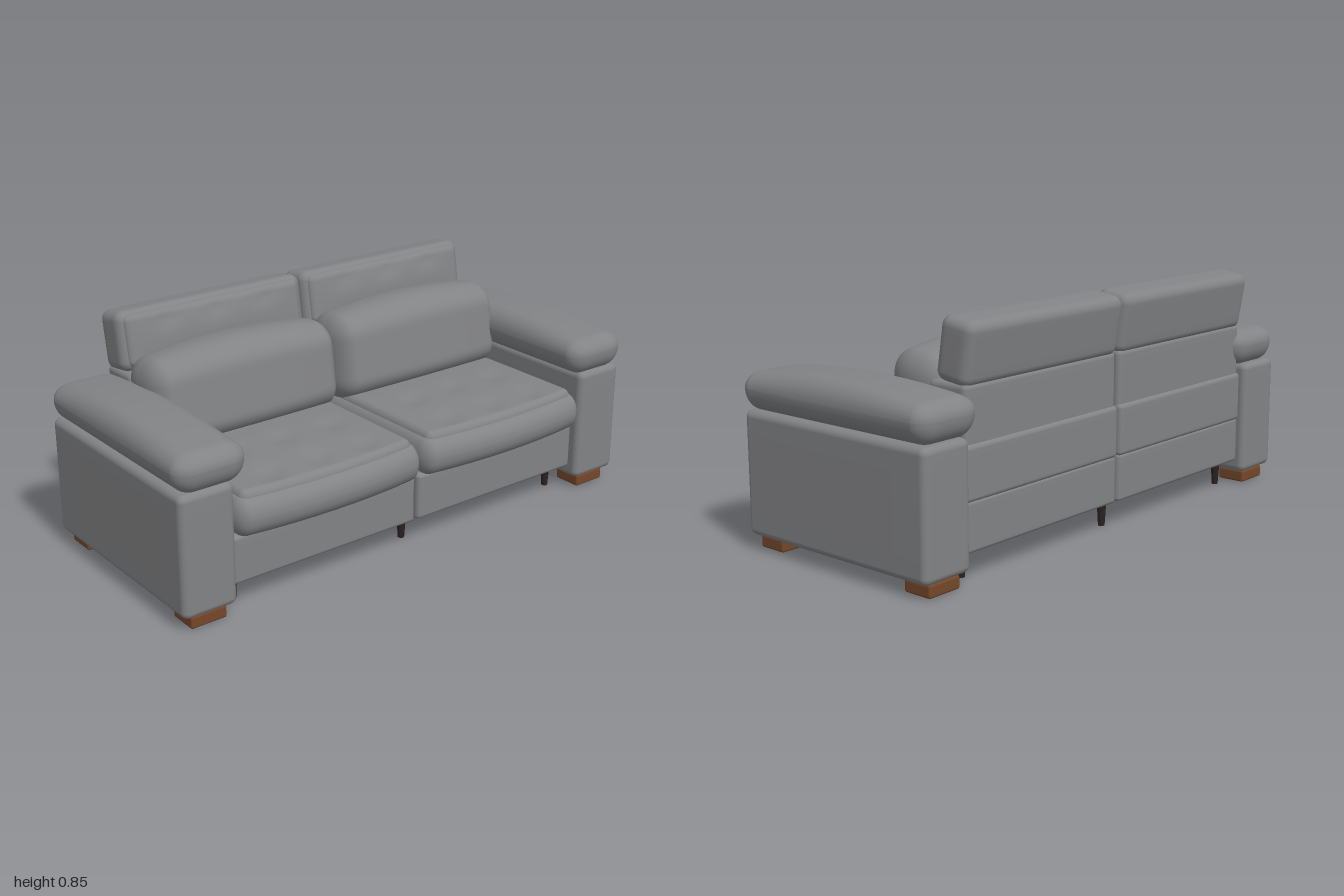
import * as THREE from 'three';
import { mergeVertices } from 'three/addons/utils/BufferGeometryUtils.js';

const leather = new THREE.MeshStandardMaterial({ color: 0x828385 });
leather.name = 'grey leather';
const wood = new THREE.MeshStandardMaterial({ color: 0x744729 });
wood.name = 'brown wood';
const dark = new THREE.MeshStandardMaterial({ color: 0x2b2320 });
dark.name = 'dark wood';

// Upholstered block with elliptical edge radii; deform(p, u) may then puff it,
// where u holds the position scaled to -1..1 on each axis.
function pillow(size, radii, deform, seg = 12) {
  let geo = new THREE.BoxGeometry(2, 2, 2, seg, seg, seg);
  geo.deleteAttribute('uv');
  geo.deleteAttribute('normal');
  geo = mergeVertices(geo, 1e-4);
  const pos = geo.attributes.position;
  const p = new THREE.Vector3(), u = new THREE.Vector3();
  for (let i = 0; i < pos.count; i++) {
    p.fromBufferAttribute(pos, i);
    const inner = [0, 0, 0], e = new THREE.Vector3();
    ['x', 'y', 'z'].forEach((axis, k) => {
      const t = p[axis], a = Math.abs(t), flat = size[k] / 2 - radii[k];
      inner[k] = Math.sign(t) * Math.min(a / 0.5, 1) * flat;
      e[axis] = a > 0.5 ? Math.sign(t) * Math.tan((a - 0.5) * Math.PI / 2) : 0;
    });
    e.normalize();
    p.set(inner[0] + e.x * radii[0], inner[1] + e.y * radii[1], inner[2] + e.z * radii[2]);
    u.set(p.x * 2 / size[0], p.y * 2 / size[1], p.z * 2 / size[2]);
    if (deform) deform(p, u);
    pos.setXYZ(i, p.x, p.y, p.z);
  }
  geo.computeVertexNormals();
  return geo;
}

function add(parent, name, geo, mat, x, y, z) {
  const mesh = new THREE.Mesh(geo, mat);
  mesh.name = name;
  mesh.position.set(x, y, z);
  parent.add(mesh);
  return mesh;
}

// Depth of a row of soft tufts at offsets -0.2, 0, 0.2 along x
function tufts(x, v, row, spread) {
  let d = 0;
  for (const c of [-0.2, 0, 0.2]) d += Math.exp(-((x - c) ** 2 + (v - row) ** 2) / spread);
  return d;
}

export function createModel() {
  const sofa = new THREE.Group();
  sofa.name = 'sofa';

  // Shared geometries
  const armBox = pillow([0.207, 0.437, 0.847], [0.025, 0.025, 0.025]);
  const armPad = pillow([0.27, 0.16, 0.87], [0.075, 0.078, 0.06], (p, u) => {
    if (p.y > 0) p.y -= 0.03 * u.z ** 2 * u.y;
  }, 20);
  const base = pillow([0.775, 0.178, 0.79], [0.015, 0.015, 0.02]);
  const backBlock = pillow([0.775, 0.19, 0.2], [0.015, 0.018, 0.02]);
  const backPanel = pillow([0.77, 0.3, 0.16], [0.02, 0.02, 0.02]);
  const seat = pillow([0.775, 0.145, 0.67], [0.045, 0.068, 0.06], (p, u) => {
    if (p.z > 0) p.z += 0.032 * (1 - u.x ** 2) * u.z;
  }, 16);
  const seatPad = pillow([0.715, 0.08, 0.62], [0.025, 0.03, 0.025], (p, u) => {
    if (p.z > 0) p.z += 0.025 * (1 - u.x ** 2) * u.z;
    if (p.y > 0) {
      p.y += 0.014 * (1 - u.x ** 2) * (1 - u.z ** 2);
      p.y -= 0.014 * (tufts(p.x, p.z, 0.24, 0.0015) + tufts(p.x, p.z, 0.04, 0.0015));
    }
  }, 36);
  const lumbar = pillow([0.78, 0.32, 0.23], [0.06, 0.085, 0.1], (p, u) => {
    if (p.y > 0) p.y += 0.035 * (1 - u.x ** 2) * u.y;
    if (p.z > 0) p.z += 0.03 * (1 - u.x ** 2) * u.z;
  }, 20);
  const headBlock = pillow([0.78, 0.215, 0.14], [0.035, 0.035, 0.035]);
  const headPad = pillow([0.735, 0.185, 0.05], [0.025, 0.025, 0.018], (p, u) => {
    if (p.z > 0) {
      p.z += 0.014 * (1 - u.x ** 2) * (1 - u.y ** 2);
      p.z -= 0.01 * tufts(p.x, p.y, 0.055, 0.001);
    }
  }, 32);
  const foot = pillow([0.137, 0.046, 0.112], [0.008, 0.008, 0.008]);
  const leg = new THREE.CylinderGeometry(0.018, 0.012, 0.1, 16);

  for (const s of [-1, 1]) {
    // Arm with padded top and wooden feet
    const arm = new THREE.Group();
    arm.name = s > 0 ? 'leftArm' : 'rightArm';
    sofa.add(arm);
    add(arm, 'armBox', armBox, leather, s * 0.888, 0.267, -0.022);
    add(arm, 'armPad', armPad, leather, s * 0.865, 0.56, -0.015);
    for (const z of [0.324, -0.37]) add(arm, 'armFoot', foot, wood, s * 0.887, 0.023, z);

    // One seat unit: base, cushions and back
    const unit = new THREE.Group();
    unit.name = s > 0 ? 'leftSeat' : 'rightSeat';
    unit.position.x = s * 0.393;
    sofa.add(unit);
    add(unit, 'seatBase', base, leather, 0, 0.184, -0.025);
    add(unit, 'lowerBackBlock', backBlock, leather, 0, 0.358, -0.325);
    add(unit, 'backPanel', backPanel, leather, 0, 0.495, -0.335);
    add(unit, 'seatCushion', seat, leather, 0, 0.34, 0.08);
    add(unit, 'seatCushionPad', seatPad, leather, 0, 0.39, 0.075);
    add(unit, 'lumbarCushion', lumbar, leather, 0, 0.555, -0.175).rotation.x = -0.14;

    // Tilted headrest with a stitched front pad
    const head = new THREE.Group();
    head.name = 'headrest';
    head.position.set(0, 0.742, -0.365);
    head.rotation.x = -0.16;
    unit.add(head);
    add(head, 'headrestBlock', headBlock, leather, 0, 0, 0);
    add(head, 'headrestPad', headPad, leather, 0, 0, 0.057);
  }

  // Slim tapered legs under the base
  for (const x of [-0.735, 0, 0.735]) {
    for (const z of [0.285, -0.35]) add(sofa, 'baseLeg', leg, dark, x, 0.05, z);
  }
  return sofa;
}
